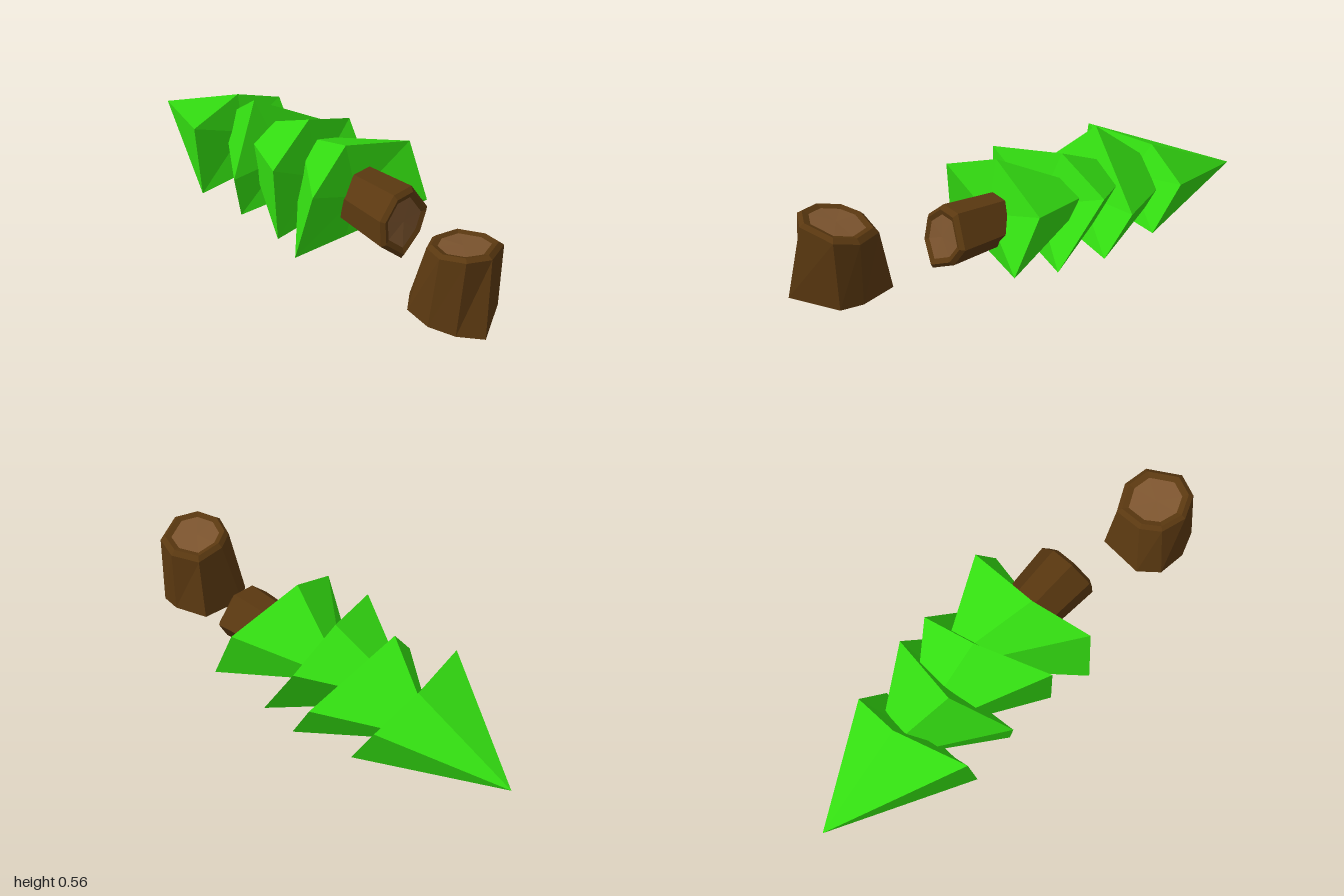
import * as THREE from 'three';

const green = new THREE.MeshStandardMaterial({ color: 0x33dd11, flatShading: true });
const bark = new THREE.MeshStandardMaterial({ color: 0x5a3810, flatShading: true });
const wood = new THREE.MeshStandardMaterial({ color: 0x7d552f, flatShading: true });

const vec = (p) => new THREE.Vector3(...p);
const centreOf = (ring) => ring.reduce((s, p) => s.add(p), new THREE.Vector3()).divideScalar(ring.length);

// Scale a ring about its centre and shift it
const scaleRing = (ring, k, shift) => {
  const c = centreOf(ring);
  return ring.map((p) => p.clone().sub(c).multiplyScalar(k).add(c).add(shift));
};

// Skin a stack of rings; a ring is counter-clockwise seen from the last one, a single point makes a tip
function loft(rings, capStart, capEnd) {
  const out = [];
  const tri = (...points) => points.forEach((p) => out.push(p.x, p.y, p.z));
  const at = (ring, i) => ring[i % ring.length];
  for (let r = 0; r + 1 < rings.length; r++) {
    const [lo, hi] = [rings[r], rings[r + 1]];
    for (let i = 0; i < hi.length; i++) {
      if (lo.length > 1) tri(at(lo, i), at(lo, i + 1), at(hi, i + 1));
      tri(at(lo, i), at(hi, i + 1), at(hi, i));
    }
  }
  const cap = (ring, flip) => {
    const c = centreOf(ring);
    ring.forEach((p, i) => (flip ? tri(c, at(ring, i + 1), p) : tri(c, p, at(ring, i + 1))));
  };
  if (capStart) cap(rings[0], true);
  if (capEnd) cap(rings[rings.length - 1], false);
  const geo = new THREE.BufferGeometry();
  geo.setAttribute('position', new THREE.Float32BufferAttribute(out, 3));
  geo.computeVertexNormals();
  return geo;
}

function mesh(name, geometry, material) {
  const m = new THREE.Mesh(geometry, material);
  m.name = name;
  return m;
}

// Bark-covered log with a bevelled rim and a pale cut face
function log(name, start, rim, axis) {
  const group = new THREE.Group();
  group.name = name;
  const bevel = scaleRing(rim, 0.87, axis.clone().multiplyScalar(0.02));
  const cut = scaleRing(rim, 0.7, axis.clone().multiplyScalar(0.01));
  group.add(mesh(name + 'Bark', loft([start, rim, bevel, cut], true, false), bark));
  group.add(mesh(name + 'CutFace', loft([cut], false, true), wood));
  return group;
}

// Foliage tiers: tip, then the corners of the skirt
const tiers = [
  { tip: [-1, 0.12, -0.95], skirt: [[-0.32, 0.29, -0.8], [-0.52, 0.41, -0.6], [-0.69, 0.41, -0.21],
    [-0.65, 0.025, -0.17], [-0.2, 0.045, -0.68]] },
  { tip: [-0.62, 0.2, -0.7], skirt: [[0.02, 0.26, -0.61], [-0.38, 0.55, -0.32], [-0.44, 0.25, 0.01],
    [-0.41, 0.015, -0.01], [0.12, 0.035, -0.49]] },
  { tip: [-0.5, 0.28, -0.51], skirt: [[0.115, 0.38, -0.48], [-0.07, 0.52, -0.21], [-0.2, 0.45, 0.2],
    [-0.18, 0.025, 0.2], [-0.03, 0.0, -0.045], [0.295, 0.02, -0.285]] },
  { tip: [-0.14, 0.3, -0.39], skirt: [[0.465, 0.42, -0.23], [0.16, 0.56, 0.08], [0.03, 0.43, 0.39],
    [-0.06, 0.06, 0.4], [0.17, 0.03, 0.13], [0.575, 0.12, -0.13]] },
];

export function createModel() {
  const model = new THREE.Group();
  model.name = 'felledTree';

  // Foliage
  tiers.forEach(({ tip, skirt }, i) => {
    model.add(mesh('foliageTier' + (i + 1), loft([[vec(tip)], skirt.map(vec)], false, true), green));
  });

  // Fallen trunk
  const trunkAxis = new THREE.Vector3(0.77, 0, 0.64);
  const trunkRim = [[0.59, 0.25, 0.12], [0.51, 0.41, 0.18], [0.43, 0.41, 0.28], [0.37, 0.31, 0.38],
    [0.38, 0.17, 0.4], [0.48, 0.06, 0.33], [0.56, 0.14, 0.19]].map(vec);
  const trunkStart = scaleRing(trunkRim, 0.8, trunkAxis.clone().multiplyScalar(-0.5));
  model.add(log('trunk', trunkStart, trunkRim, trunkAxis));

  // Stump left standing
  const stumpBase = [[0.55, 0.64], [0.55, 0.775], [0.66, 0.89], [0.8, 0.94], [0.945, 0.935], [0.99, 0.645],
    [0.91, 0.55], [0.725, 0.46]].map(([x, z]) => new THREE.Vector3(x, 0.075 - (x - 0.55) * 0.05, z));
  const stumpRim = [[0.65, 0.42, 0.63], [0.63, 0.44, 0.75], [0.7, 0.465, 0.87], [0.83, 0.48, 0.91],
    [0.95, 0.47, 0.85], [1, 0.43, 0.66], [0.92, 0.4, 0.55], [0.76, 0.39, 0.51]].map(vec);
  model.add(log('stump', stumpBase, stumpRim, new THREE.Vector3(0, 1, 0)));

  return model;
}
